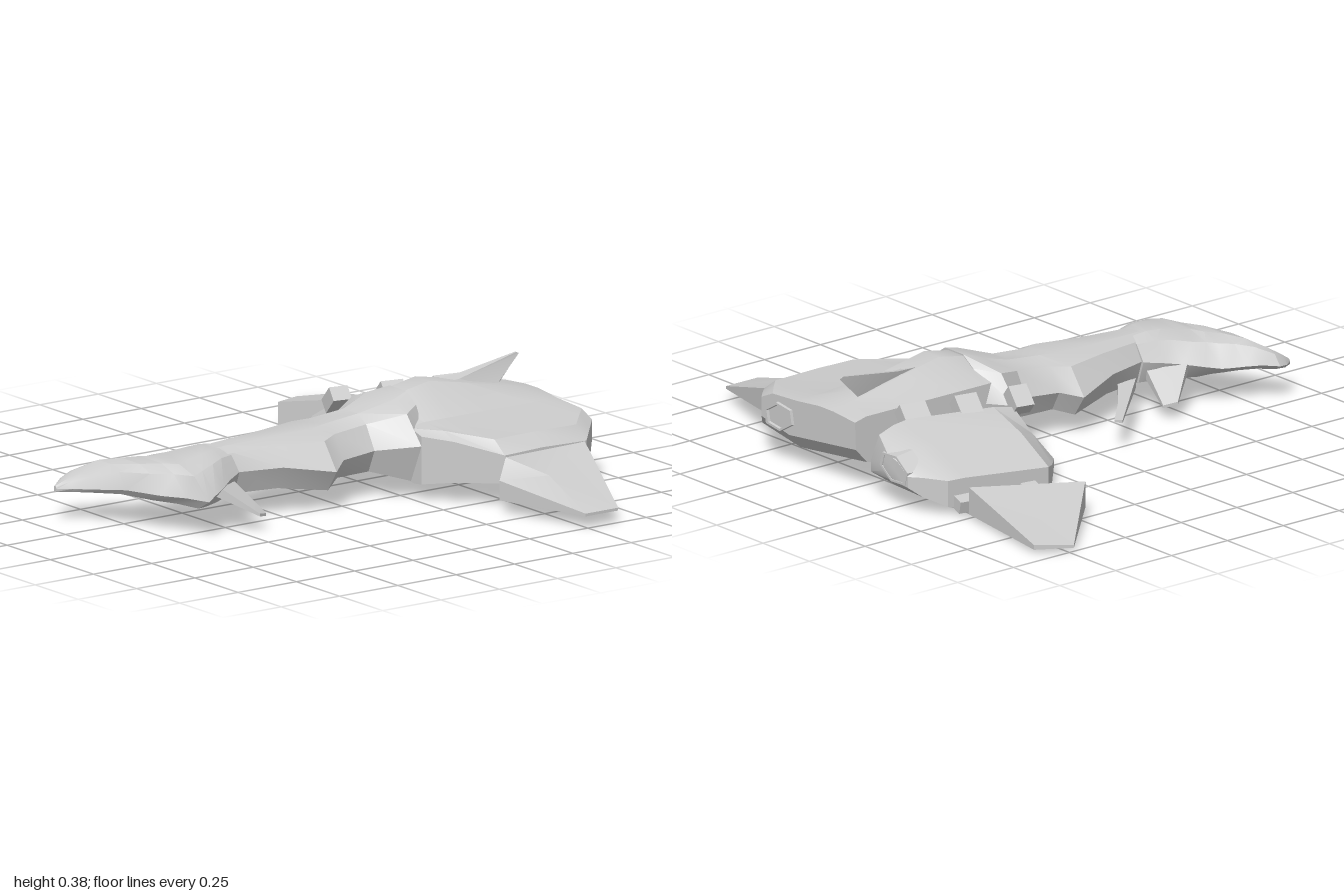
import * as THREE from 'three';
import { toCreasedNormals } from 'three/addons/utils/BufferGeometryUtils.js';

const material = new THREE.MeshStandardMaterial({ color: 0xcccccc, side: THREE.DoubleSide });

// Skin a solid over rings of equal point count, close both ends and face it outward
function loft(name, rings, crease = 0.45) {
  const n = rings[0].length;
  const pos = rings.flat(2);
  let idx = [];
  for (let r = 0; r < rings.length - 1; r++) {
    for (let i = 0; i < n; i++) {
      const j = (i + 1) % n, a = r * n, b = a + n;
      idx.push(a + i, a + j, b + j, a + i, b + j, b + i);
    }
  }
  [0, rings.length - 1].forEach((r, end) => {
    const c = pos.length / 3;
    for (let k = 0; k < 3; k++) pos.push(rings[r].reduce((s, p) => s + p[k], 0) / n);
    for (let i = 0; i < n; i++) {
      const a = r * n + i, b = r * n + (i + 1) % n;
      idx.push(...(end ? [c, a, b] : [c, b, a]));
    }
  });
  const at = (i) => new THREE.Vector3().fromArray(pos, i * 3);
  let volume = 0;
  for (let i = 0; i < idx.length; i += 3) volume += at(idx[i]).dot(at(idx[i + 1]).cross(at(idx[i + 2])));
  if (volume < 0) idx.reverse();
  const g = new THREE.BufferGeometry();
  g.setAttribute('position', new THREE.Float32BufferAttribute(pos, 3));
  g.setIndex(idx);
  const mesh = new THREE.Mesh(toCreasedNormals(g, crease), material);
  mesh.name = name;
  return mesh;
}

// Plate from plan corners [x, z, top, bottom]
const plate = (name, corners) => loft(name, [
  corners.map(([x, z, , b]) => [x, b, z]),
  corners.map(([x, z, t]) => [x, t, z]),
]);

// Eight-point body section between two side edges
function section([z, l, r, top, side, bottom]) {
  const c = (l + r) / 2, w = (r - l) / 2;
  const y = side + (top - side) * 0.75;
  return [
    [c - w * 0.3, top, z], [c + w * 0.3, top, z], [c + w * 0.65, y, z], [r, side, z],
    [c + w * 0.75, bottom, z], [c - w * 0.75, bottom, z], [l, side, z], [c - w * 0.65, y, z],
  ];
}

function tab(name, size, at, yaw, roll) {
  const mesh = new THREE.Mesh(new THREE.BoxGeometry(...size), material);
  mesh.name = name;
  mesh.position.set(...at);
  mesh.rotation.set(0, yaw, roll, 'YXZ');
  return mesh;
}

// Hexagonal exhaust with a recessed mouth
function nozzle(name, x, y, z, roll) {
  const profile = [[0, -0.03], [0.055, -0.03], [0.068, 0.02], [0.082, 0.02], [0.1, -0.05]];
  const g = new THREE.LatheGeometry(profile.map((p) => new THREE.Vector2(...p)), 6);
  g.rotateX(-Math.PI / 2).scale(1, 0.62, 1);
  const mesh = new THREE.Mesh(toCreasedNormals(g, 0.4), material);
  mesh.name = name;
  mesh.position.set(x, y, z);
  mesh.rotation.z = roll;
  return mesh;
}

export function createModel() {
  const model = new THREE.Group();
  model.name = 'brokenSpacecraft';

  // Long neck, flaring into the hull
  model.add(loft('neck', [
    [0.47, 0.02, 0.21, 0.26, 0.18, 0.1],
    [0.41, 0.01, 0.21, 0.262, 0.18, 0.1],
    [0.25, -0.03, 0.25, 0.267, 0.18, 0.1],
    [0.07, -0.09, 0.315, 0.277, 0.15, 0.075],
    [0, -0.04, 0.26, 0.28, 0.17, 0.1],
    [-0.14, -0.03, 0.25, 0.293, 0.18, 0.1],
    [-0.26, -0.125, 0.36, 0.33, 0.2, 0.065],
    [-0.33, -0.03, 0.29, 0.35, 0.2, 0.07],
  ].map(section)));

  // Forked head, with its left prong broken short
  model.add(loft('head', [
    [0.41, 0.0, 0.21, 0.255, 0.18, 0.1],
    [0.48, -0.03, 0.25, 0.262, 0.17, 0.1],
    [0.54, -0.06, 0.295, 0.258, 0.16, 0.1],
    [0.6, -0.11, 0.33, 0.247, 0.15, 0.1],
    [0.65, -0.135, 0.36, 0.24, 0.14, 0.105],
    [0.68, -0.15, 0.27, 0.235, 0.14, 0.11],
    [0.73, -0.17, 0.19, 0.228, 0.14, 0.115],
    [0.78, -0.195, 0.055, 0.215, 0.14, 0.12],
    [0.84, -0.22, -0.05, 0.18, 0.13, 0.115],
    [0.88, -0.21, -0.115, 0.155, 0.125, 0.112],
    [0.917, -0.18, -0.165, 0.13, 0.12, 0.11],
  ].map(section)));

  // Cheek fins, swept back and down
  for (const s of [-1, 1]) {
    const x = (v) => 0.11 + s * v;
    model.add(plate(s < 0 ? 'rightCheekFin' : 'leftCheekFin', [
      [x(0.1), 0.43, 0.15, 0.11], [x(0.235), 0.395, 0.06, 0.05],
      [x(0.26), 0.44, 0.07, 0.06], [x(0.17), 0.56, 0.17, 0.13],
    ]));
  }

  // Spines along the right of the neck
  [[-0.21, 0.14, 0.01], [-0.28, 0.065, 0.03]].forEach(([x, z, shift], i) => {
    model.add(plate('neckSpine' + (i + 1), [
      [x, z + 0.02, 0.115, 0.105], [x + 0.02, z, 0.115, 0.105],
      [-0.03, 0.26 + shift, 0.14, 0.105], [-0.02, 0.33 + shift, 0.14, 0.105],
    ]));
  });

  // Main hull: z, ridge height, shoulder height, outer x, outer top, outer bottom, keel
  model.add(loft('mainHull', [
    [-0.26, 0.31, 0.25, 0.36, 0.235, 0.065, 0.06],
    [-0.33, 0.345, 0.26, 0.455, 0.225, 0.08, 0.055],
    [-0.44, 0.365, 0.26, 0.6, 0.19, 0.09, 0.055],
    [-0.6, 0.335, 0.26, 0.6, 0.195, 0.09, 0.05],
    [-0.79, 0.295, 0.26, 0.6, 0.19, 0.09, 0.05],
    [-0.86, 0.28, 0.26, 0.525, 0.21, 0.1, 0.065],
    [-0.91, 0.268, 0.255, 0.47, 0.22, 0.15, 0.12],
  ].map(([z, ridge, shoulder, x, top, low, keel]) => [
    [-0.04, keel + 0.04, z], [-0.035, Math.min(0.27, ridge - 0.01), z], [0.08, ridge, z],
    [0.16, ridge, z], [0.28, shoulder, z], [x - 0.06, (shoulder + top) / 2 + 0.01, z],
    [x, top, z], [x, low, z], [0.32, keel, z],
  ])));

  // Intact wing
  model.add(plate('leftWing', [
    [0.58, -0.79, 0.195, 0.1], [0.58, -0.44, 0.19, 0.09], [0.605, -0.44, 0.185, 0.085],
    [0.65, -0.38, 0.12, 0.05], [1, -0.49, 0.058, 0.048], [1, -0.63, 0.058, 0.048],
  ]));

  // Raked dorsal fin
  model.add(loft('dorsalFin', [
    [[0.09, 0.34, -0.36], [0.165, 0.34, -0.35], [0.18, 0.27, -0.68], [0.1, 0.27, -0.74]],
    [[0.085, 0.35, -0.62], [0.12, 0.34, -0.6], [0.135, 0.29, -0.74], [0.09, 0.29, -0.79]],
    [[0.078, 0.387, -0.87], [0.085, 0.387, -0.87], [0.085, 0.38, -0.88], [0.078, 0.38, -0.885]],
  ]));

  // Detached engine pod: z, outer x, inner x, outer low/top, mid top, inner top/low
  model.add(loft('rightPod', [
    [-0.23, -0.29, -0.17, 0.025, 0.045, 0.055, 0.065, 0.045],
    [-0.33, -0.4, -0.15, 0.012, 0.075, 0.16, 0.23, 0.045],
    [-0.42, -0.49, -0.135, 0.005, 0.11, 0.195, 0.25, 0.045],
    [-0.75, -0.44, -0.065, 0.02, 0.13, 0.21, 0.26, 0.05],
    [-0.82, -0.43, -0.075, 0.035, 0.13, 0.21, 0.255, 0.06],
    [-0.885, -0.37, -0.09, 0.07, 0.14, 0.2, 0.235, 0.09],
    [-0.918, -0.33, -0.2, 0.1, 0.14, 0.18, 0.195, 0.13],
  ].map(([z, o, i, oLow, oTop, mid, iTop, iLow]) => [
    [o, oLow, z], [o, oTop, z], [o + (i - o) * 0.42, mid, z], [o + (i - o) * 0.84, iTop, z],
    [i, iLow + 0.04, z], [i, iLow, z], [o + (i - o) * 0.5, Math.min(oLow, iLow) + 0.005, z],
  ])));

  // Torn joints on both edges of the pod and on the loose wing
  [[-0.1, -0.7], [-0.145, -0.5], [-0.185, -0.3]].forEach(([x, z], i) => {
    model.add(tab('innerJoint' + (i + 1), [0.085, 0.055, 0.1 - i * 0.015], [x, 0.25, z], -0.2, 0.75));
    model.add(tab('lowerJoint' + (i + 1), [0.06, 0.04, 0.08], [x + 0.01, 0.11, z], -0.2, 0.2));
  });
  [[-0.455, -0.77], [-0.475, -0.65], [-0.5, -0.51]].forEach(([x, z], i) => {
    model.add(tab('outerJoint' + (i + 1), [0.05, 0.045, 0.06], [x, 0.045, z], -0.17, 0.25));
  });
  [[-0.5, -0.68], [-0.59, -0.57]].forEach(([x, z], i) => {
    model.add(tab('wingJoint' + (i + 1), [0.08, 0.04, 0.05], [x, 0.045, z], -0.5, 0.2));
  });

  // Loose wing
  model.add(plate('rightWing', [
    [-0.5, -0.785, 0.118, 0.02], [-0.7, -0.43, 0.115, 0.02],
    [-1, -0.73, 0.027, 0.018], [-0.93, -0.85, 0.035, 0.018],
  ]));

  // Exhausts
  model.add(nozzle('leftNozzle', 0.37, 0.175, -0.9, -0.2));
  model.add(nozzle('rightNozzle', -0.255, 0.15, -0.9, 0.3));
  return model;
}
